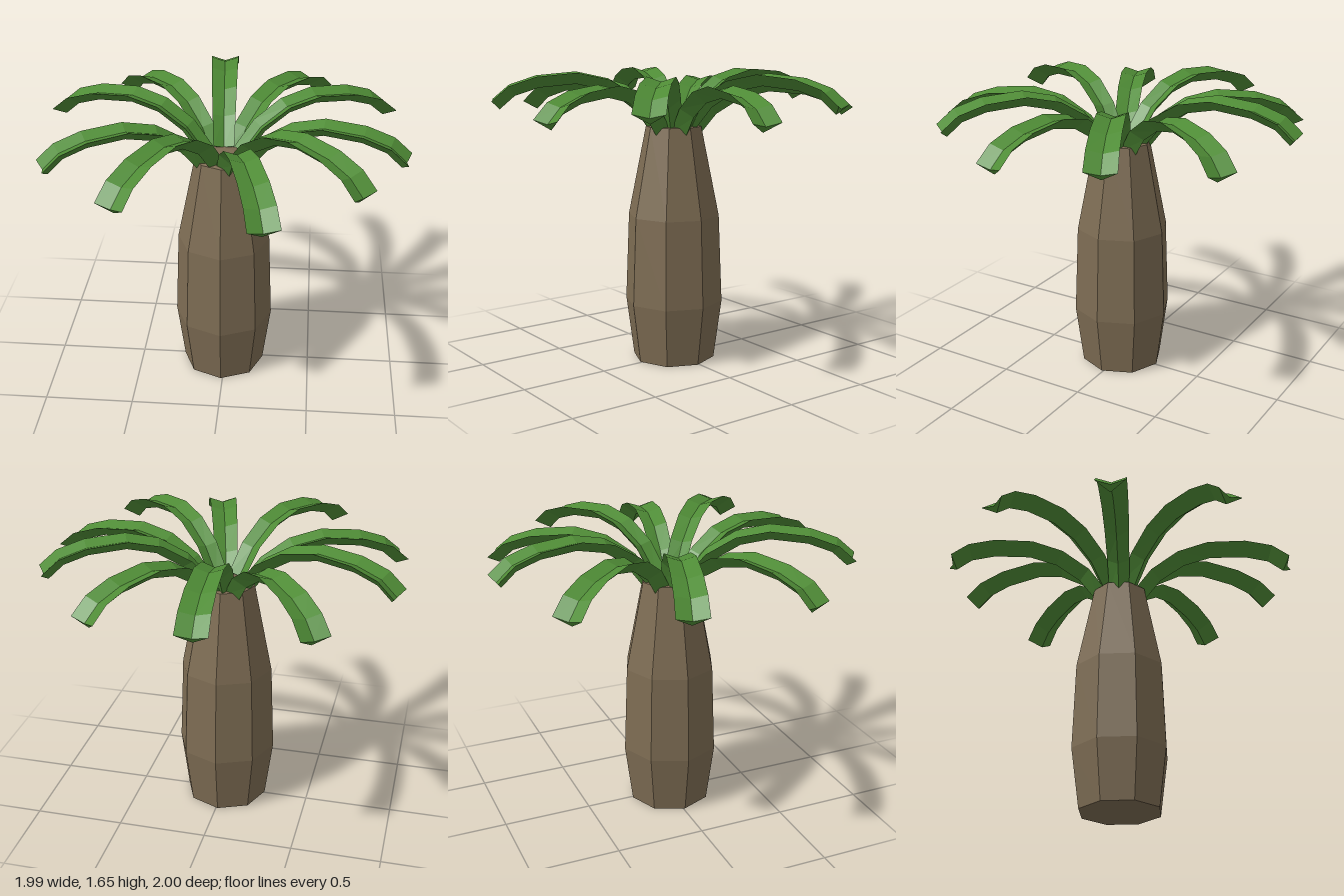
import * as THREE from 'three';

const bark = new THREE.MeshStandardMaterial({ color: 0x7d6c53, flatShading: true });
bark.name = 'bark brown';
const leaf = new THREE.MeshStandardMaterial({ color: 0x4f8c36, flatShading: true });
leaf.name = 'leaf green';

// Arching midline of a frond: distance from the trunk axis, height, half width
const ARCH = [
  [0.085, 1.37, 0.058], [0.2, 1.51, 0.064], [0.36, 1.61, 0.07], [0.54, 1.65, 0.075],
  [0.76, 1.63, 0.079], [0.91, 1.58, 0.081], [1.005, 1.5, 0.083],
];

// A folded strip: shallow valley on top, keel below, closed at both ends
function frondGeometry() {
  const pos = [], index = [];
  ARCH.forEach(([x, y, w], i) => {
    const a = ARCH[Math.max(i - 1, 0)], b = ARCH[Math.min(i + 1, ARCH.length - 1)];
    const t = new THREE.Vector2(b[0] - a[0], b[1] - a[1]).normalize();
    // Section points are offset along the normal of the arch
    for (const [side, drop] of [[1, 0], [0, 0.025], [-1, 0], [0, 0.065]]) {
      pos.push(x + t.y * drop, y - t.x * drop, side * w);
    }
  });
  const last = ARCH.length - 1;
  for (let i = 0; i < last; i++) {
    for (let j = 0; j < 4; j++) {
      const a = i * 4 + j, b = i * 4 + (j + 1) % 4;
      index.push(a, a + 4, b, b, a + 4, b + 4);
    }
  }
  const e = last * 4;
  index.push(e, e + 3, e + 1, e + 1, e + 3, e + 2); // tip
  index.push(0, 1, 3, 1, 2, 3); // base
  const g = new THREE.BufferGeometry();
  g.setAttribute('position', new THREE.Float32BufferAttribute(pos, 3));
  g.setIndex(index);
  const flat = g.toNonIndexed();
  flat.computeVertexNormals();
  return flat;
}

export function createModel() {
  const model = new THREE.Group();
  model.name = 'palmTree';

  // Eight-sided swollen trunk
  const profile = [[0, 0], [0.235, 0], [0.28, 0.34], [0.26, 0.84], [0.158, 1.345], [0.07, 1.365], [0, 1.365]];
  const trunkGeo = new THREE.LatheGeometry(profile.map(([r, y]) => new THREE.Vector2(r, y)), 8).toNonIndexed();
  trunkGeo.computeVertexNormals();
  const trunk = new THREE.Mesh(trunkGeo, bark);
  trunk.name = 'trunk';
  trunk.position.set(-0.01, 0, 0.01);
  model.add(trunk);

  // Crown of ten fronds, alternately high and low
  const crown = new THREE.Group();
  crown.name = 'crown';
  crown.position.set(-0.01, 0, 0.01);
  const geo = frondGeometry();
  [-94, -59, -25, 9.5, 42.6, 74.6, 118, 156.6, 197, 232].forEach((deg, i) => {
    const frond = new THREE.Mesh(geo, leaf);
    frond.name = i % 2 ? 'lowFrond' : 'highFrond';
    frond.rotation.y = -THREE.MathUtils.degToRad(deg);
    frond.position.y = i % 2 ? -0.05 : 0;
    crown.add(frond);
  });
  model.add(crown);
  return model;
}
